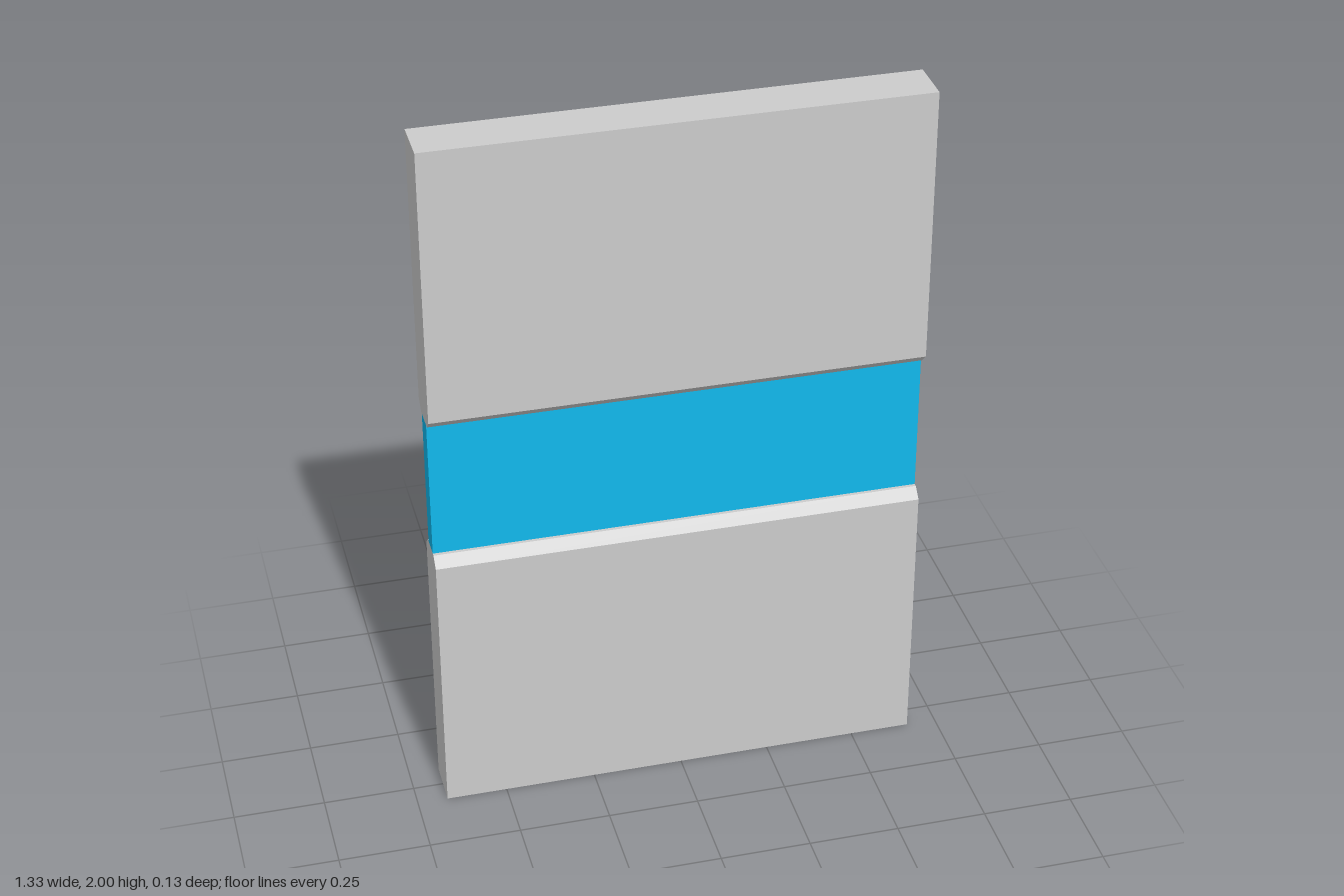
import * as THREE from 'three';

const WIDTH = 1.334, HALF_DEPTH = 0.067, PANEL_HEIGHT = 0.8, CHAMFER = 0.027;

// Slab with its two upper long edges chamfered, extruded across the width
function panelGeometry() {
  const d = HALF_DEPTH, h = PANEL_HEIGHT, c = CHAMFER;
  const profile = new THREE.Shape([
    [-d, 0], [d, 0], [d, h - c], [d - c, h], [-d + c, h], [-d, h - c],
  ].map(([x, y]) => new THREE.Vector2(x, y)));
  return new THREE.ExtrudeGeometry(profile, { depth: WIDTH, bevelEnabled: false })
    .translate(0, 0, -WIDTH / 2)
    .rotateY(Math.PI / 2);
}

export function createModel() {
  const group = new THREE.Group();
  group.name = 'bandedPanel';
  const grey = new THREE.MeshStandardMaterial({ color: 0xcccccc });
  const blue = new THREE.MeshStandardMaterial({ color: 0x11b8ec });

  // Two matching panels, chamfered edges facing each other
  const geometry = panelGeometry();
  const lower = new THREE.Mesh(geometry, grey);
  lower.name = 'lowerPanel';
  const upper = new THREE.Mesh(geometry, grey);
  upper.name = 'upperPanel';
  upper.rotation.z = Math.PI;
  upper.position.y = 2;

  // Thin recessed band joining the panels
  const band = new THREE.Mesh(new THREE.BoxGeometry(WIDTH, 0.4, 0.06), blue);
  band.name = 'middleBand';
  band.position.y = 1;

  group.add(lower, band, upper);
  return group;
}
